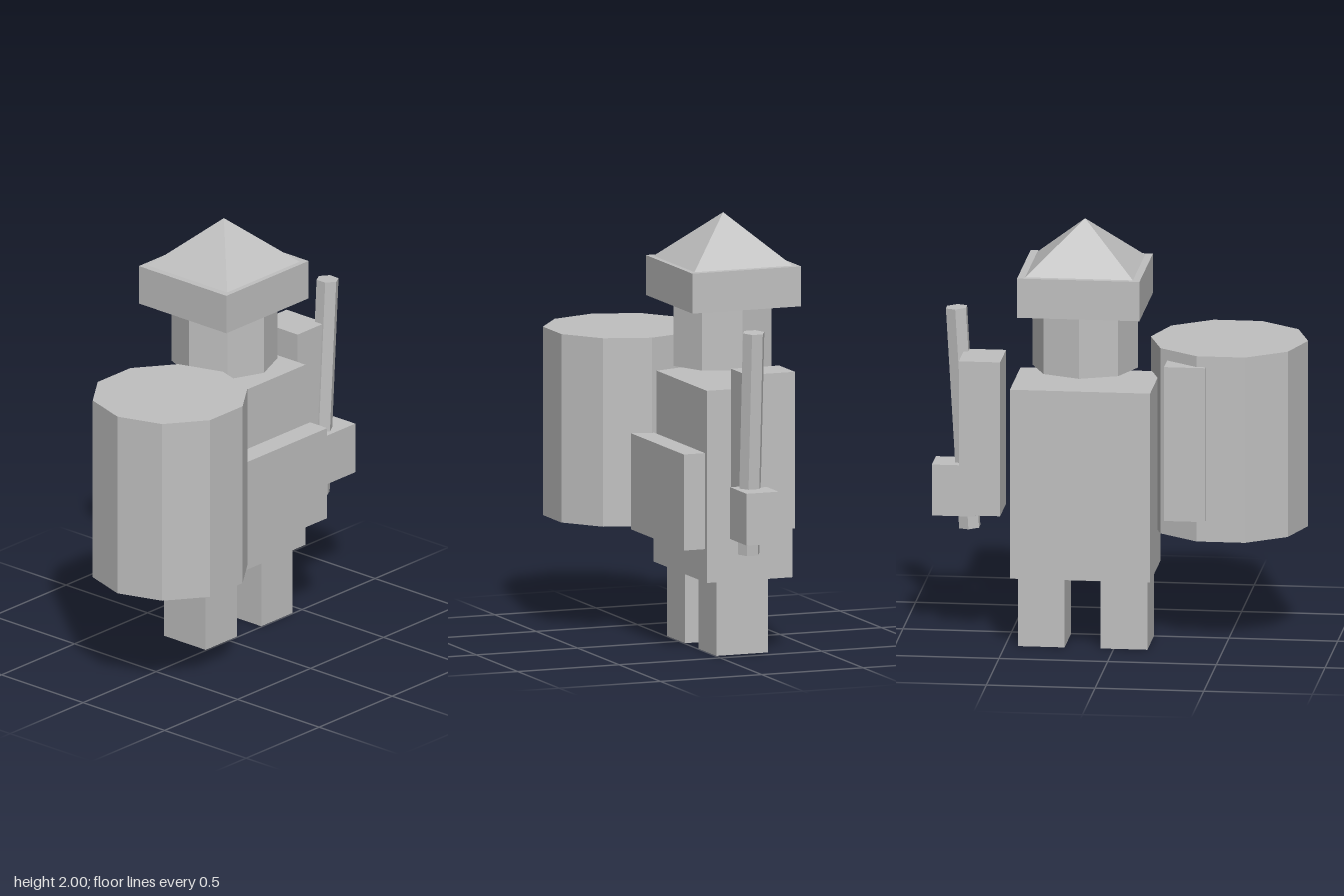
import * as THREE from 'three';

export function createModel() {
  const group = new THREE.Group();
  const grey = new THREE.MeshStandardMaterial({ color: 0xc0c0c0, flatShading: true });
  grey.name = 'plain grey';

  const add = (name, geometry, x, y, z) => {
    const mesh = new THREE.Mesh(geometry, grey);
    mesh.name = name;
    mesh.position.set(x, y, z);
    group.add(mesh);
    return mesh;
  };

  // Box given by its extents along each axis
  const box = (name, [x0, x1], [y0, y1], [z0, z1]) =>
    add(name, new THREE.BoxGeometry(x1 - x0, y1 - y0, z1 - z0),
      (x0 + x1) / 2, (y0 + y1) / 2, (z0 + z1) / 2);

  const midX = 0.143; // the figure stands off-centre beside its barrel
  const midZ = -0.16;

  // Torso and the apron plate in front of it
  box('body', [-0.18, 0.465], [0.345, 1.235], [-0.37, 0.052]);
  box('apron', [-0.155, 0.48], [0.505, 0.95], [0.067, 0.172]);

  // Legs and arms, mirrored about the figure's middle
  for (const [side, s] of [['left', 1], ['right', -1]]) {
    const span = (a, b) => [midX + s * a, midX + s * b].sort((p, q) => p - q);
    box(side + 'Leg', span(0.083, 0.298), [0, 0.345], [-0.26, -0.005]);
    box(side + 'Arm', span(0.377, 0.567), [0.615, 1.34], [-0.283, -0.045]);
  }

  // Octagonal head
  add('head', new THREE.CylinderGeometry(0.243, 0.243, 0.287, 8), midX, 1.4465, -0.157);

  // Hat: square brim with a pyramid on top
  box('hatBrim', [-0.138, 0.425], [1.59, 1.775], [-0.43, 0.107]);
  const peak = new THREE.ConeGeometry(Math.SQRT1_2, 1, 4);
  peak.rotateY(Math.PI / 4);
  peak.scale(0.495, 0.225, 0.485);
  add('hatPeak', peak, midX, 1.8875, midZ);

  // Hand holding a leaning six-sided stick
  box('leftHand', [0.65, 0.85], [0.575, 0.815], [-0.145, 0.013]);
  const bottom = new THREE.Vector3(0.685, 0.507, -0.064);
  const top = new THREE.Vector3(0.746, 1.541, -0.064);
  const stick = add('stick', new THREE.CylinderGeometry(0.053, 0.053, bottom.distanceTo(top), 6),
    ...bottom.clone().lerp(top, 0.5).toArray());
  stick.rotation.z = -Math.atan2(top.x - bottom.x, top.y - bottom.y);

  // Ten-sided barrel under the other arm
  const barrel = add('barrel', new THREE.CylinderGeometry(0.362, 0.362, 0.873, 10), -0.493, 0.9545, 0.08);
  barrel.rotation.y = Math.PI / 2;

  return group;
}
